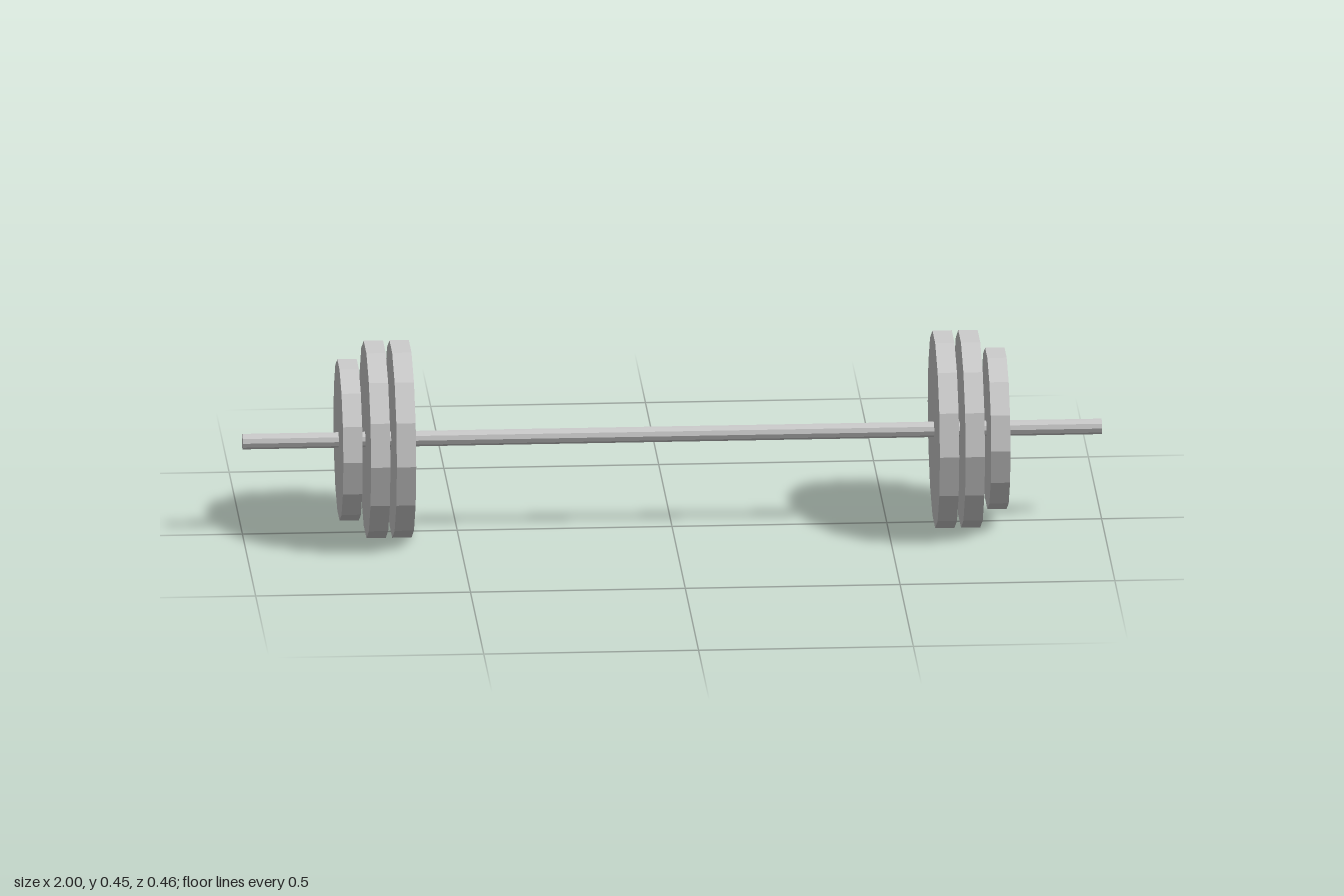
import * as THREE from 'three';

export function createModel() {
  const model = new THREE.Group();
  model.name = 'barbell';
  const steel = new THREE.MeshStandardMaterial({ color: 0xcccccc, flatShading: true });
  steel.name = 'light grey steel';
  const axisY = 0.2245;

  // Faceted disc or rod lying along x
  function rod(name, radius, length, sides, x) {
    const geometry = new THREE.CylinderGeometry(radius, radius, length, sides);
    geometry.rotateZ(Math.PI / 2);
    const mesh = new THREE.Mesh(geometry, steel);
    mesh.name = name;
    mesh.position.set(x, axisY, 0);
    model.add(mesh);
  }

  // Bar through all the plates
  rod('bar', 0.018, 2, 10, 0);

  // Two large plates and a smaller outer one at each end
  const plates = [
    ['InnerPlate', 0.23, 0.632],
    ['MiddlePlate', 0.23, 0.692],
    ['OuterPlate', 0.188, 0.754],
  ];
  for (const [side, sign] of [['left', 1], ['right', -1]]) {
    for (const [name, radius, x] of plates) {
      rod(side + name, radius, 0.045, 14, sign * x);
    }
  }
  return model;
}
